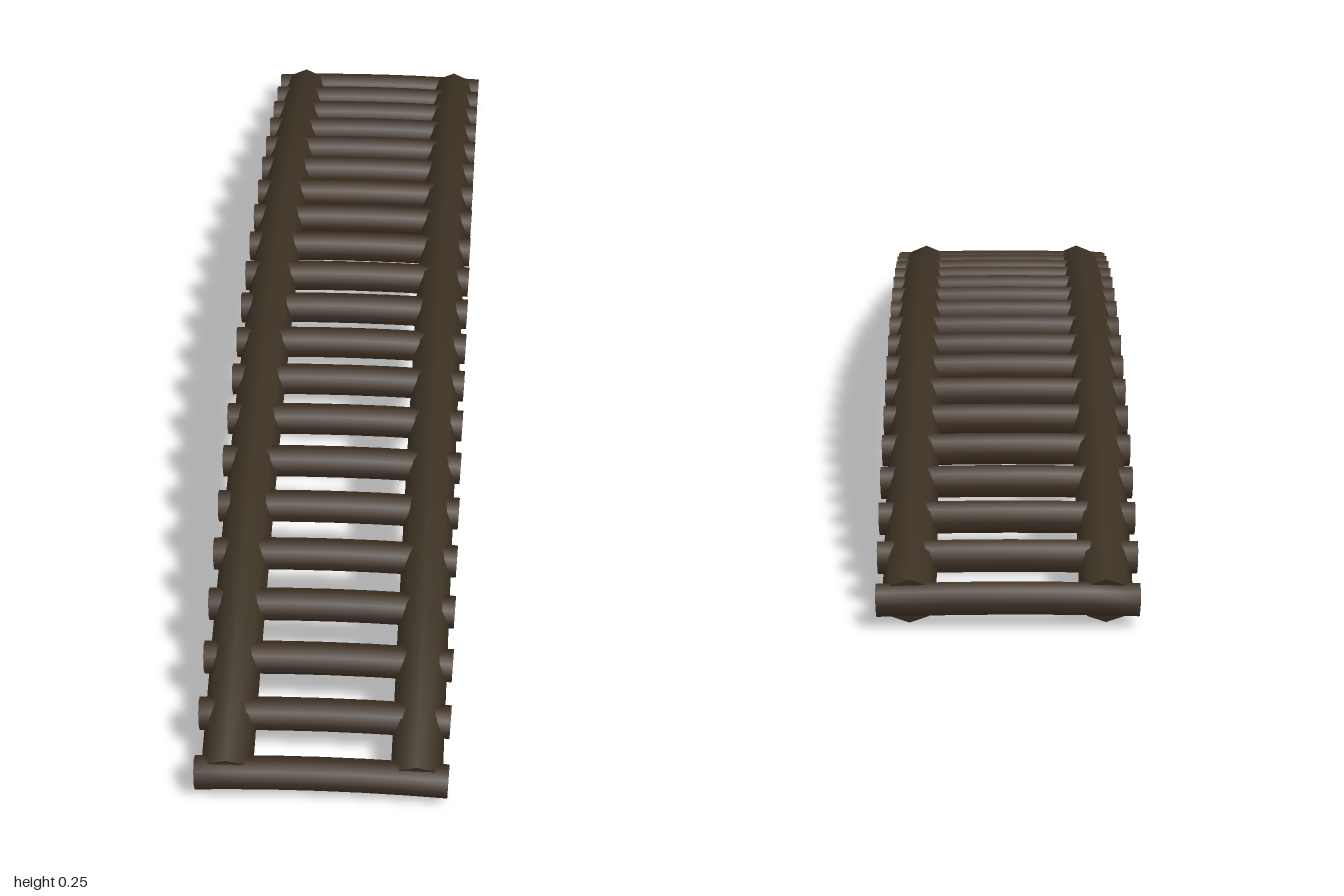
import * as THREE from 'three';

const V = (x, y, z) => new THREE.Vector3(x, y, z);
const SIDES = 8;

// Eight-sided log swept along points; side is a fixed vector across the path.
function makeLog(name, points, side, radius, bark, endGrain) {
  const rings = points.map((p, i) => {
    const prev = points[Math.max(i - 1, 0)];
    const next = points[Math.min(i + 1, points.length - 1)];
    const tangent = next.clone().sub(prev).normalize();
    const normal = tangent.clone().cross(side).normalize();
    const across = normal.clone().cross(tangent).normalize();
    return Array.from({ length: SIDES }, (_, j) => {
      const a = (j / SIDES) * Math.PI * 2;
      return p.clone()
        .addScaledVector(across, Math.cos(a) * radius)
        .addScaledVector(normal, Math.sin(a) * radius);
    });
  });

  // Bark surface
  const index = [];
  for (let i = 0; i < rings.length - 1; i++) {
    for (let j = 0; j < SIDES; j++) {
      const k = (j + 1) % SIDES;
      const a = i * SIDES + j, b = i * SIDES + k;
      index.push(a, b, b + SIDES, a, b + SIDES, a + SIDES);
    }
  }
  const body = new THREE.BufferGeometry().setFromPoints(rings.flat());
  body.setIndex(index);
  body.computeVertexNormals();

  // Cut ends
  const tris = [];
  const last = points.length - 1;
  for (let j = 0; j < SIDES; j++) {
    const k = (j + 1) % SIDES;
    tris.push(points[0], rings[0][k], rings[0][j]);
    tris.push(points[last], rings[last][j], rings[last][k]);
  }
  const ends = new THREE.BufferGeometry().setFromPoints(tris);
  ends.computeVertexNormals();

  const group = new THREE.Group();
  group.name = name;
  const bodyMesh = new THREE.Mesh(body, bark);
  bodyMesh.name = name + 'Bark';
  const endMesh = new THREE.Mesh(ends, endGrain);
  endMesh.name = name + 'Ends';
  group.add(bodyMesh, endMesh);
  return group;
}

export function createModel() {
  const material = (name, color) => {
    const m = new THREE.MeshStandardMaterial({ color });
    m.name = name;
    return m;
  };
  const railBark = material('railBark', 0x3b3123);
  const rungBark = material('rungBark', 0x3f3125);
  const endGrain = material('endGrain', 0x6c5338);

  const model = new THREE.Group();
  model.name = 'archedLogBridge';

  // Arch of the bridge as a coarse polyline
  const archPoints = [];
  for (let i = 0; i <= 8; i++) {
    const t = i / 4 - 1;
    archPoints.push(V(0, 0.21 - 0.172 * t * t, t * 0.972));
  }

  // Two side rails
  for (const s of [-1, 1]) {
    const path = archPoints.map((p) => V(s * 0.146, p.y, p.z));
    model.add(makeLog(s > 0 ? 'leftRail' : 'rightRail', path, V(1, 0, 0), 0.04, railBark, railBark));
  }

  // Slightly bowed rungs laid across the rails
  const rungs = new THREE.Group();
  rungs.name = 'rungs';
  const count = 21;
  for (let i = 0; i < count; i++) {
    const t = (i / (count - 1)) * 2 - 1;
    const y = 0.211 - 0.171 * t * t;
    const path = [];
    for (let k = 0; k <= 6; k++) {
      const u = k / 3 - 1;
      const bow = 0.004 * (1 - u * u);
      path.push(V(u * 0.195, y + bow, t * 0.974 - bow * 0.6));
    }
    rungs.add(makeLog('rung', path, V(0, 0, 1), 0.026, rungBark, endGrain));
  }
  model.add(rungs);
  return model;
}
